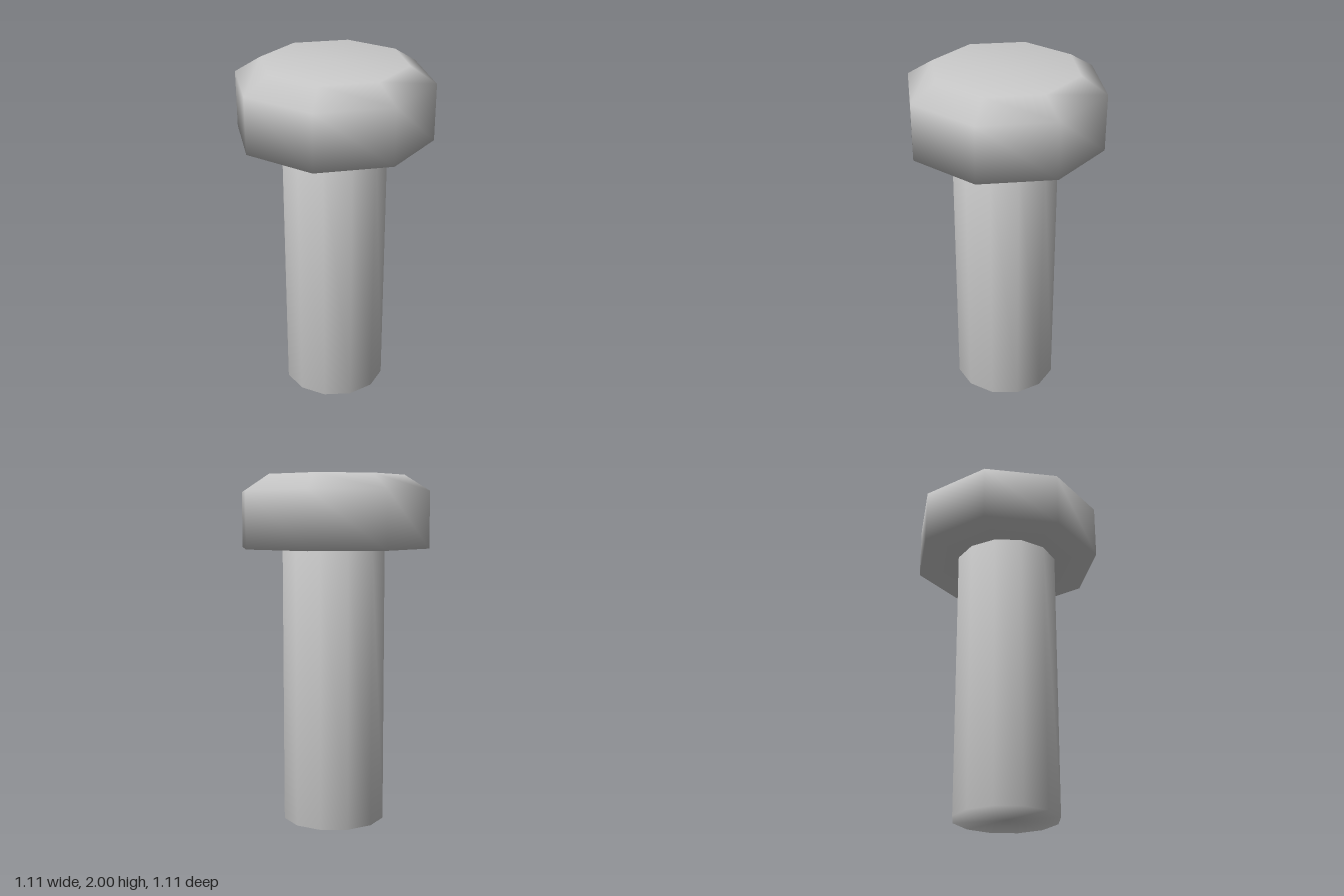
import * as THREE from 'three';

// Smooth-shaded solid of revolution; profile runs from bottom to top as [radius, height]
function turned(name, profile, sides, material) {
  const points = profile.map(([r, y]) => new THREE.Vector2(r, y));
  const mesh = new THREE.Mesh(new THREE.LatheGeometry(points, sides), material);
  mesh.name = name;
  return mesh;
}

export function createModel() {
  const group = new THREE.Group();
  group.name = 'bolt';
  const material = new THREE.MeshStandardMaterial({ color: 0xcccccc });

  // Twelve-sided shank, closed at both ends
  group.add(turned('shank', [[0, 0], [0.3, 0], [0.3, 1.6], [0, 1.6]], 12, material));

  // Eight-sided head with a bevelled top edge
  group.add(turned('head', [[0, 1.59], [0.555, 1.59], [0.555, 1.91], [0.41, 2], [0, 2]], 8, material));

  return group;
}
